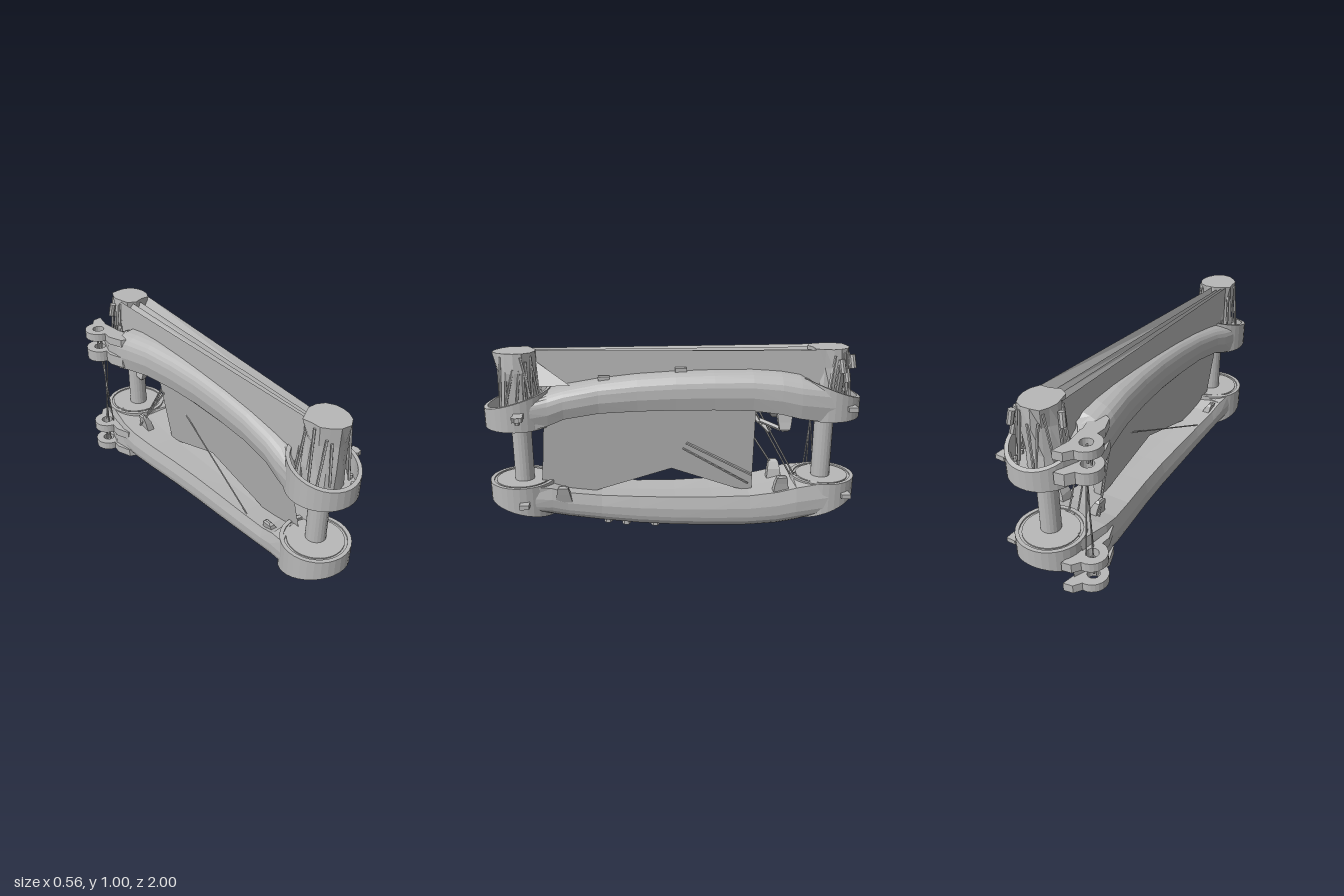
import * as THREE from 'three';

const V = (x, y, z) => new THREE.Vector3(x, y, z);

// Skin a list of equal-length loops; either capped at both ends or joined into a ring
function loft(loops, ring = false, capZ = null) {
  const m = loops[0].length, pos = [], idx = [];
  loops.forEach(l => l.forEach(p => pos.push(p.x, p.y, p.z)));
  const n = loops.length;
  for (let i = 0; i < (ring ? n : n - 1); i++) for (let j = 0; j < m; j++) {
    const a = i * m + j, b = i * m + (j + 1) % m, o = ((i + 1) % n) * m;
    const c = o + j, d = o + (j + 1) % m;
    idx.push(a, b, c, b, d, c);
  }
  if (!ring) [0, n - 1].forEach(k => {
    const c = loops[k].reduce((s, p) => s.add(p), V(0, 0, 0)).divideScalar(m);
    if (capZ) c.z = capZ(c.x, k);
    const ci = pos.length / 3;
    pos.push(c.x, c.y, c.z);
    for (let j = 0; j < m; j++) {
      const a = k * m + j, b = k * m + (j + 1) % m;
      k ? idx.push(ci, a, b) : idx.push(ci, b, a);
    }
  });
  const g = new THREE.BufferGeometry();
  g.setAttribute('position', new THREE.Float32BufferAttribute(pos, 3));
  g.setIndex(idx);
  return g;
}

// Cylinder between two points
function rod(a, b, r, sides = 6) {
  const d = b.clone().sub(a);
  const g = new THREE.CylinderGeometry(r, r, d.length(), sides);
  g.applyQuaternion(new THREE.Quaternion().setFromUnitVectors(V(0, 1, 0), d.normalize()));
  const c = a.clone().add(b).multiplyScalar(0.5);
  return g.translate(c.x, c.y, c.z);
}
const cyl = (x, y0, y1, z, r, s) => new THREE.CylinderGeometry(r, r, y1 - y0, s).translate(x, (y0 + y1) / 2, z);
const box = (x, y, z, w, h, d) => new THREE.BoxGeometry(w, h, d).translate(x, y, z);

// Plate drawn in x/z, with optional round hole, from y0 to y1
function plate(pts, y0, y1, hole) {
  const s = new THREE.Shape(pts.map(p => new THREE.Vector2(p[0], -p[1])));
  if (hole) s.holes.push(new THREE.Path().absarc(hole[0], -hole[1], hole[2], 0, Math.PI * 2, true));
  return new THREE.ExtrudeGeometry(s, { depth: y1 - y0, bevelEnabled: false, curveSegments: 8 })
    .rotateX(-Math.PI / 2).translate(0, y0, 0);
}

export function createModel() {
  const root = new THREE.Group();
  root.name = 'armLink';
  const grey = new THREE.MeshStandardMaterial({ color: 0xb8b8b8, flatShading: true, side: THREE.DoubleSide });
  grey.name = 'castGrey';
  let seed = 7;
  const rnd = () => (seed = (seed * 16807) % 2147483647) / 2147483647;
  const CX = 0.025, CZ = 0.825;

  // Adds a mesh; "up" reflects it into the upper shell
  function put(parent, name, geo, up = false) {
    const g = geo.index ? geo.toNonIndexed() : geo;
    if (up) {
      g.scale(1, -1, 1).translate(0, 0.91, 0);
      const p = g.attributes.position, a = V(0, 0, 0), b = V(0, 0, 0);
      for (let i = 0; i < p.count; i += 3) {
        a.fromBufferAttribute(p, i + 1); b.fromBufferAttribute(p, i + 2);
        p.setXYZ(i + 1, b.x, b.y, b.z); p.setXYZ(i + 2, a.x, a.y, a.z);
      }
    }
    g.deleteAttribute('normal');
    g.computeVertexNormals();
    const m = new THREE.Mesh(g, grey);
    m.name = name;
    parent.add(m);
  }

  // Arched beam stations: z, left x, right x, inner y, outer y
  const stations = [
    [0.74, -0.14, 0.19, 0.30, 0.13], [0.66, -0.125, 0.17, 0.28, 0.11], [0.58, -0.115, 0.16, 0.25, 0.092],
    [0.4, -0.105, 0.15, 0.225, 0.06], [0.2, -0.105, 0.157, 0.215, 0.036], [0, -0.11, 0.167, 0.21, 0.022],
    [-0.2, -0.125, 0.177, 0.21, 0.015], [-0.4, -0.15, 0.187, 0.215, 0.013], [-0.55, -0.175, 0.197, 0.235, 0.022],
    [-0.65, -0.185, 0.203, 0.26, 0.038], [-0.74, -0.16, 0.2, 0.28, 0.06]];
  // Beam ends are scooped to follow the round housings
  const scoop = x => CZ - Math.sqrt(Math.max(0, 0.165 ** 2 - (x - CX) ** 2));

  function shell(up) {
    const g = new THREE.Group();
    g.name = up ? 'upperShell' : 'lowerShell';
    root.add(g);
    const add = (name, geo) => put(g, name, geo, up);

    const last = stations.length - 1;
    add('archedBeam', loft(stations.map(([z, l, r, yi, yo], k) => {
      const mid = yi - (yi - yo) * 0.35, cx = (l + r) / 2, w = (r - l) / 2, loop = [];
      const pt = (x, y) => loop.push(V(x, y, k === 0 ? scoop(x) : k === last ? -scoop(x) : z));
      pt(l + 0.015, yi); pt(cx, yi - 0.005); pt(r - 0.015, yi);
      for (let i = 0; i <= 14; i++) {
        const t = Math.PI * i / 14, c = Math.cos(t);
        pt(cx + w * Math.sign(c) * Math.abs(c) ** 0.6, mid - (mid - yo) * Math.sin(t) ** 0.6);
      }
      return loop;
    }), false, (x, k) => k ? -scoop(x) : scoop(x)));

    // Round end housings with slanted rims, and the bearing discs closing them
    for (const s of [1, -1]) {
      const top = s > 0 ? 0.30 : 0.28, loops = [];
      const rim = z => s > 0 ? 0.2 - (1 - Math.abs(z)) * 0.28 : 0.18 - (1 - Math.abs(z)) * 0.38;
      for (let i = 0; i < 32; i++) {
        const a = i / 32 * Math.PI * 2;
        const at = (r, y) => { const z = s * CZ + r * Math.sin(a); return V(CX + r * Math.cos(a), y ?? rim(z), z); };
        loops.push([at(0.175, top), at(0.175), at(0.155), at(0.155, top)]);
      }
      add('endHousing', loft(loops, true));
      add('bearingDisc', cyl(CX, top - 0.035, top - 0.008, s * CZ, 0.157, 32));
      add('bearingFlange', cyl(CX, top - 0.01, top - 0.002, s * CZ, 0.142, 32));
      // Bolt circle inside the housing
      for (let i = 0; i < 14; i++) {
        const a = i / 14 * Math.PI * 2;
        add('innerBolt', cyl(CX + 0.138 * Math.cos(a), top - 0.055, top - 0.034, s * CZ + 0.138 * Math.sin(a), 0.01, 6));
      }
    }

    // Clevis ears and the web that joins them to the beam
    const ear = [[-0.13, -0.58], [-0.178, -0.6], [-0.21, -0.68]];
    for (let i = 0; i <= 12; i++) {
      const a = 1.5 - i / 12 * 3.1;
      ear.push([-0.2 - 0.08 * Math.cos(a), -0.81 + 0.08 * Math.sin(a)]);
    }
    ear.push([-0.17, -0.93], [-0.12, -0.94], [-0.138, -0.84], [-0.125, -0.75]);
    const hole = [-0.205, -0.81, 0.032];
    add('clevisEar', plate(ear, up ? 0.06 : 0.043, up ? 0.105 : 0.09, hole));
    add('clevisEar', plate(ear, 0.172, up ? 0.235 : 0.222, hole));
    add('clevisWeb', plate([[-0.13, -0.58], [-0.172, -0.6], [-0.195, -0.72], [-0.17, -0.8], [-0.14, -0.88],
      [-0.136, -0.76], [-0.11, -0.68]], 0.06, 0.215));
    for (const x of [-0.22, -0.2]) add('clevisPin', cyl(x, 0.08, 0.18, -0.8, 0.006, 6));

    // Side lugs
    const reach = up ? 0.275 : 0.24;
    add('frontLug', box((0.18 + reach) / 2, 0.21, 0.8, reach - 0.18, 0.024, 0.05));
    if (up) {
      add('lugNut', cyl(0.25, 0.22, 0.24, 0.8, 0.014, 6));
      add('lugEnd', cyl(0.25, 0.198, 0.222, 0.8, 0.03, 10));
    }
    add('rearLug', box(0.185, 0.21, -0.92, 0.05, 0.024, 0.05));

    // Cable horns by the inner face
    for (const z of up ? [-0.57] : [-0.57, 0.6]) for (const [x, lean] of [[0.14, 0.03], [-0.05, -0.03]]) {
      const h = z > 0 ? 0.3 : 0.33;
      const sect = (y, dx, w, d) => [[-w, -d], [w, -d], [w, d], [-w, d]].map(q => V(x + dx + q[0], y, z + q[1]));
      add('cableHorn', loft([sect(0.2, 0, 0.022, 0.045), sect(h - 0.05, lean * 0.5, 0.02, 0.035),
        sect(h - 0.012, lean, 0.014, 0.028), sect(h, lean * 1.1, 0.006, 0.014)]));
    }
    // Bosses on the outer face
    if (up) for (const [z, y, x] of [[0.37, 0.055, 0.07], [-0.03, 0.015, 0.07]]) add('cableBoss', box(x, y + 0.008, z, 0.035, 0.04, 0.06));
    else for (const [x, z, y] of [[-0.015, 0.37, 0.04], [0.07, 0.37, 0.04], [-0.015, 0.27, 0.025], [0.07, 0.27, 0.025],
      [0.03, 0.2, 0.02], [-0.015, 0.11, 0.012], [0.07, 0.11, 0.012], [0.02, -0.02, 0]])
      add('undersideBolt', cyl(x, y, y + 0.04, z, 0.024, 6));
  }
  shell(false);
  shell(true);

  for (const s of [1, -1]) {
    // Joint columns between the shells
    put(root, 'jointColumn', cyl(0.035, 0.27, 0.65, s * 0.815, 0.052, 20));

    // Cable trunks rising from the upper housings
    const loops = [0.64, 0.76, 0.9, 1].map((y, k) => Array.from({ length: 14 }, (_, i) => {
      const a = -i / 14 * Math.PI * 2, r = (k === 3 ? 0.106 : 0.096) + (rnd() - 0.5) * 0.026;
      return V(0.025 + r * Math.cos(a), y, s * 0.82 + r * Math.sin(a));
    }));
    put(root, 'cableTrunk', loft(loops));
    for (let i = 0; i < 16; i++) {
      const a = rnd() * 6.28, b = a + (rnd() - 0.5) * 0.9;
      put(root, 'trunkStrand', rod(V(0.025 + 0.125 * Math.cos(a), 0.66 + rnd() * 0.08, s * 0.82 + 0.125 * Math.sin(a)),
        V(0.025 + 0.1 * Math.cos(b), 0.9 + rnd() * 0.09, s * 0.82 + 0.1 * Math.sin(b)), 0.007, 5));
    }
    // Frayed cable bundles below the lower housings
    const y = s > 0 ? 0.12 : 0.078, c = V(0.03, y, s * 0.82);
    put(root, 'bundleStem', cyl(0.03, y, 0.27, s * 0.82, 0.018, 8));
    for (let i = 0; i < 64; i++) {
      const d = V(rnd() - 0.5, rnd() - 0.5, rnd() - 0.5).normalize().multiplyScalar(0.036 + rnd() * 0.016);
      put(root, 'bundleStrand', rod(c, c.clone().add(d), 0.006, 4));
    }
  }
  // Connectors on the rear trunk
  for (const [x, z, y] of [[-0.1, -0.82, 0.95], [0.13, -0.89, 0.88], [0.11, -0.92, 0.95], [0.14, -0.86, 0.93]])
    put(root, 'connector', rod(V(x, y - 0.05, z - 0.01), V(x * 0.9, y + 0.02, z), 0.017, 8));

  // Pleated cover stretched between the trunk tops
  const fold = [0, 0.16, 0.3, 0.45, 0.6, 0.8, 1], drop = [0, 0.05, 0.005, 0.07, 0.01, 0.06, 0];
  const row = (x0, x1, z) => [V(x0, 0.66, z), ...fold.map((f, i) => V(x0 + (x1 - x0) * f, 0.995 - drop[i], z)), V(x1, 0.66, z)];
  put(root, 'pleatedCover', loft([row(-0.065, 0.105, -0.78), row(-0.055, 0.015, 0.76)]));
  // Flap sloping from the cover down to the front of the beam
  const flap = new THREE.BufferGeometry().setFromPoints([V(0.115, 0.83, 0.7), V(0.115, 0.83, 0.54), V(0.02, 0.94, 0.72)]);
  put(root, 'coverFlap', flap);

  // Tapered web sheets in the gap between the shells
  const outline = [[0.69, 0.62], [0.62, 0.72], [-0.42, 0.72], [-0.42, 0.2], [-0.33, 0.22], [0.02, 0.35], [0.45, 0.22], [0.72, 0.28]];
  const sheetX = (side, y) => side > 0 ? 0.07 + (y - 0.25) * 0.1 : 0.02 - (y - 0.25) * 0.17;
  for (const side of [1, -1]) {
    const g = new THREE.ShapeGeometry(new THREE.Shape(outline.map(p => new THREE.Vector2(...p))));
    const p = g.attributes.position;
    for (let i = 0; i < p.count; i++) p.setXYZ(i, sheetX(side, p.getY(i)), p.getY(i), p.getX(i));
    put(root, 'webSheet', g);
  }
  const edge = z => [0.2, 0.72].flatMap((y, k) => (k ? [1, -1] : [-1, 1]).map(s => V(sheetX(s, y), y, z)));
  put(root, 'webEdge', loft([edge(-0.415), edge(-0.425)]));

  // Loose cables
  for (const [a, b, r] of [
    [[-0.2, 0.2, -0.8], [-0.19, 0.7, -0.8], 0.004], [[-0.18, 0.2, -0.77], [-0.2, 0.7, -0.82], 0.004],
    [[-0.19, 0.2, -0.84], [-0.175, 0.7, -0.78], 0.004],
    [[0.05, 0.68, -0.42], [0, 0.27, -0.65], 0.005], [[0.08, 0.68, -0.44], [0.04, 0.27, -0.67], 0.005],
    [[-0.03, 0.55, -0.4], [-0.09, 0.24, -0.6], 0.006], [[-0.02, 0.5, -0.2], [-0.08, 0.22, 0.45], 0.004],
    [[0.1, 0.5, -0.06], [0.08, 0.3, -0.42], 0.008], [[0.1, 0.47, -0.04], [0.08, 0.25, -0.4], 0.006],
    [[0.09, 0.62, -0.45], [0.13, 0.58, -0.56], 0.014], [[0.0, 0.62, -0.43], [0.05, 0.54, -0.52], 0.016]])
    put(root, 'looseCable', rod(V(...a), V(...b), r, 5));

  return root;
}
